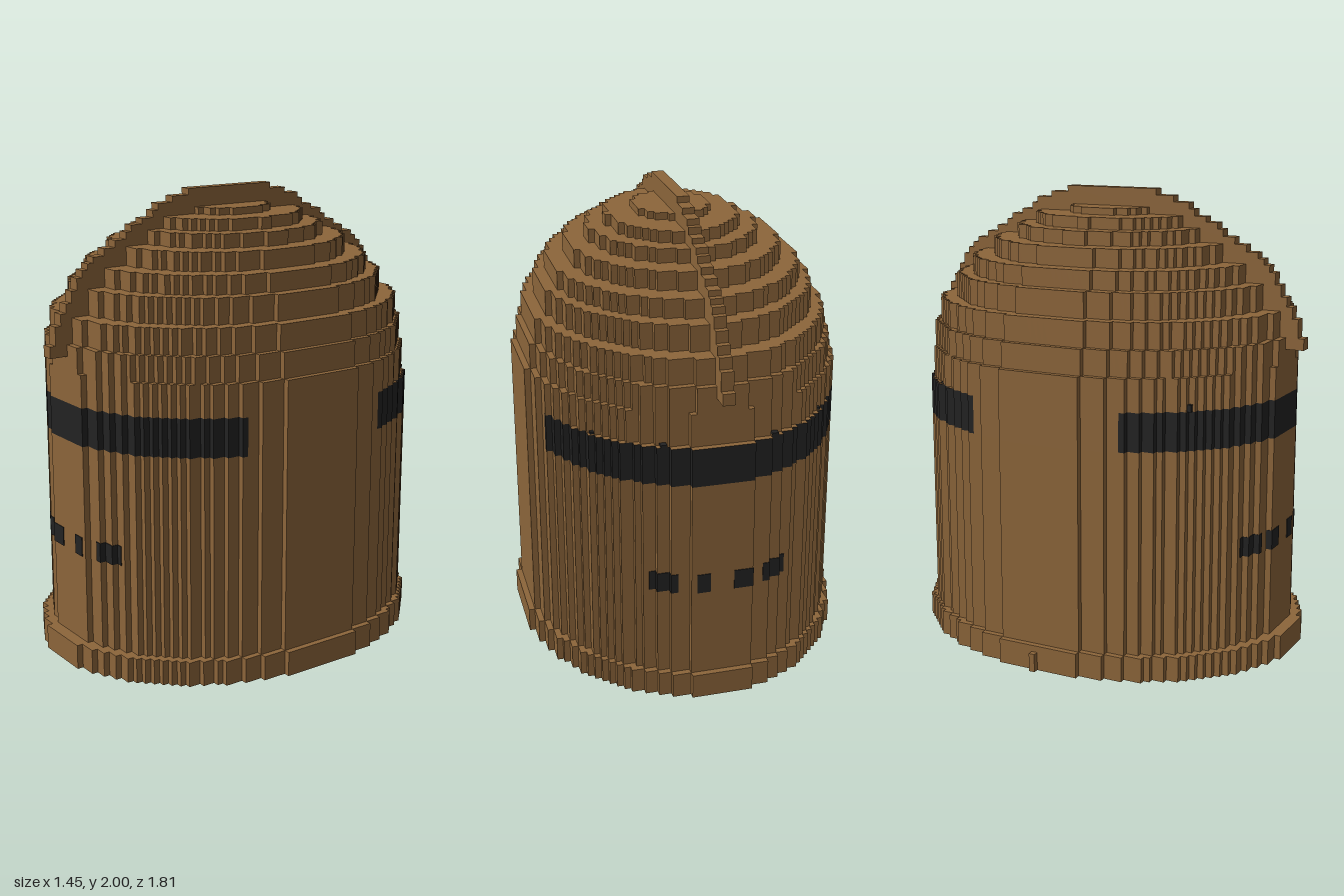
import * as THREE from 'three';

const VX = 0.0264, VZ = 0.02667; // size of one block step across and deep
const CX = 0.009;                // centre line of the helmet

const brown = new THREE.MeshStandardMaterial({ color: 0x8c653a });
brown.name = 'leather brown';
const black = new THREE.MeshStandardMaterial({ color: 0x222222 });
black.name = 'slot black';

// Half width, in blocks, of row i of a stepped oval
function rowWidth(i, nx, nFront, nBack) {
  const t = i >= 0 ? (i + 0.5) / nFront : (-i - 0.5) / nBack;
  return Math.max(1, Math.round((nx + 0.15) * Math.sqrt(Math.max(0, 1 - t * t))));
}

// Stepped oval slab between two heights, using rows lo to hi - 1
function slab(name, y0, y1, nx, nFront, nBack, material, lo = -nBack, hi = nFront) {
  const right = [], left = [];
  for (let i = lo; i < hi; i++) {
    const w = rowWidth(i, nx, nFront, nBack) * VX;
    for (const z of [i * VZ, (i + 1) * VZ]) {
      right.push(new THREE.Vector2(CX + w, -z));
      left.unshift(new THREE.Vector2(CX - w, -z));
    }
  }
  const outline = [...right, ...left].filter((p, k, all) => k === 0 || !p.equals(all[k - 1]));
  const geo = new THREE.ExtrudeGeometry(new THREE.Shape(outline), { depth: y1 - y0, bevelEnabled: false });
  geo.rotateX(-Math.PI / 2).translate(0, y0, 0);
  const mesh = new THREE.Mesh(geo, material);
  mesh.name = name;
  return mesh;
}

function block(name, w, h, d, x, y, z, material) {
  const mesh = new THREE.Mesh(new THREE.BoxGeometry(w, h, d), material);
  mesh.position.set(x, y, z);
  mesh.name = name;
  return mesh;
}

export function createModel() {
  const model = new THREE.Group();
  model.name = 'helmet';

  // Base rim with one stray block on its side
  model.add(slab('baseRim', 0, 0.108, 27, 33, 33, brown));
  model.add(block('rimBlock', 0.03, 0.08, VZ, -0.714, 0.04, 0.5 * -VZ, brown));

  // Body wall, one block deeper at the back up to the top of the eye slot
  model.add(slab('lowerBody', 0.108, 0.985, 26, 31, 32, brown));
  model.add(slab('bandSides', 0.985, 1.15, 26, 31, 32, brown, -13, 13));
  model.add(slab('frontEyeSlot', 0.985, 1.15, 26, 31, 32, [brown, black], 13, 31));
  model.add(slab('backEyeSlot', 0.985, 1.15, 26, 31, 32, [brown, black], -32, -13));
  model.add(slab('upperBody', 1.15, 1.29, 26, 31, 31, brown));

  // Small dark blocks on the upper edge of the slot
  for (const [x, z, h] of [[-0.47, 0.59, 0.03], [-0.47, -0.59, 0.01], [0.488, -0.59, 0.01],
    [-0.222, -0.787, 0.01], [0.243, -0.787, 0.01]]) {
    model.add(block('slotBlock', VX, h, VZ, x, 1.15 + h / 2, z, black));
  }

  // Stepped dome: bottom, top, half width and half depth in blocks
  const dome = [
    [1.29, 1.40, 25, 31], [1.40, 1.51, 24, 30], [1.51, 1.62, 22, 27],
    [1.62, 1.70, 20, 24], [1.70, 1.78, 17, 20], [1.78, 1.84, 13.5, 16],
    [1.84, 1.89, 10.4, 13], [1.89, 1.92, 6, 7],
  ];
  for (const [y0, y1, nx, nz] of dome) model.add(slab('domeStep', y0, y1, nx, nz, nz, brown));

  // Crest over the top: top height and half length of each step
  const steps = [
    [1.40, 0.907], [1.48, 0.88], [1.53, 0.853], [1.57, 0.827], [1.62, 0.80],
    [1.67, 0.773], [1.70, 0.747], [1.725, 0.72], [1.75, 0.693], [1.78, 0.64],
    [1.81, 0.587], [1.84, 0.533], [1.867, 0.507], [1.89, 0.453], [1.92, 0.40],
    [1.947, 0.373], [1.973, 0.30], [2.0, 0.2175],
  ];
  const front = [], back = [];
  let y = 1.35;
  for (const [top, half] of steps) {
    front.push(new THREE.Vector2(half, y), new THREE.Vector2(half, top));
    back.unshift(new THREE.Vector2(-half, top), new THREE.Vector2(-half, y));
    y = top;
  }
  const crestGeo = new THREE.ExtrudeGeometry(new THREE.Shape([...front, ...back]),
    { depth: 2 * VX, bevelEnabled: false });
  crestGeo.translate(0, 0, -VX).rotateY(-Math.PI / 2);
  const crest = new THREE.Mesh(crestGeo, brown);
  crest.position.x = CX;
  crest.name = 'crest';
  model.add(crest);

  // Breathing holes, front and back, following the stepped wall
  for (const side of [1, -1]) {
    const depth = side > 0 ? 31 : 32;
    for (const [from, to] of [[-11, -7], [-5, -2], [2, 4], [7, 11]]) {
      const hole = new THREE.Group();
      hole.name = side > 0 ? 'frontBreathHole' : 'backBreathHole';
      for (let k = from; k < to; k++) {
        let n = depth;
        while (rowWidth(n - 1, 26, depth, depth) < Math.abs(k + 0.5)) n--;
        hole.add(block('holeCell', VX + 0.004, 0.085, VZ, CX + (k + 0.5) * VX, 0.5375,
          side * ((n - 0.5) * VZ + 0.003), black));
      }
      model.add(hole);
    }
  }
  return model;
}
